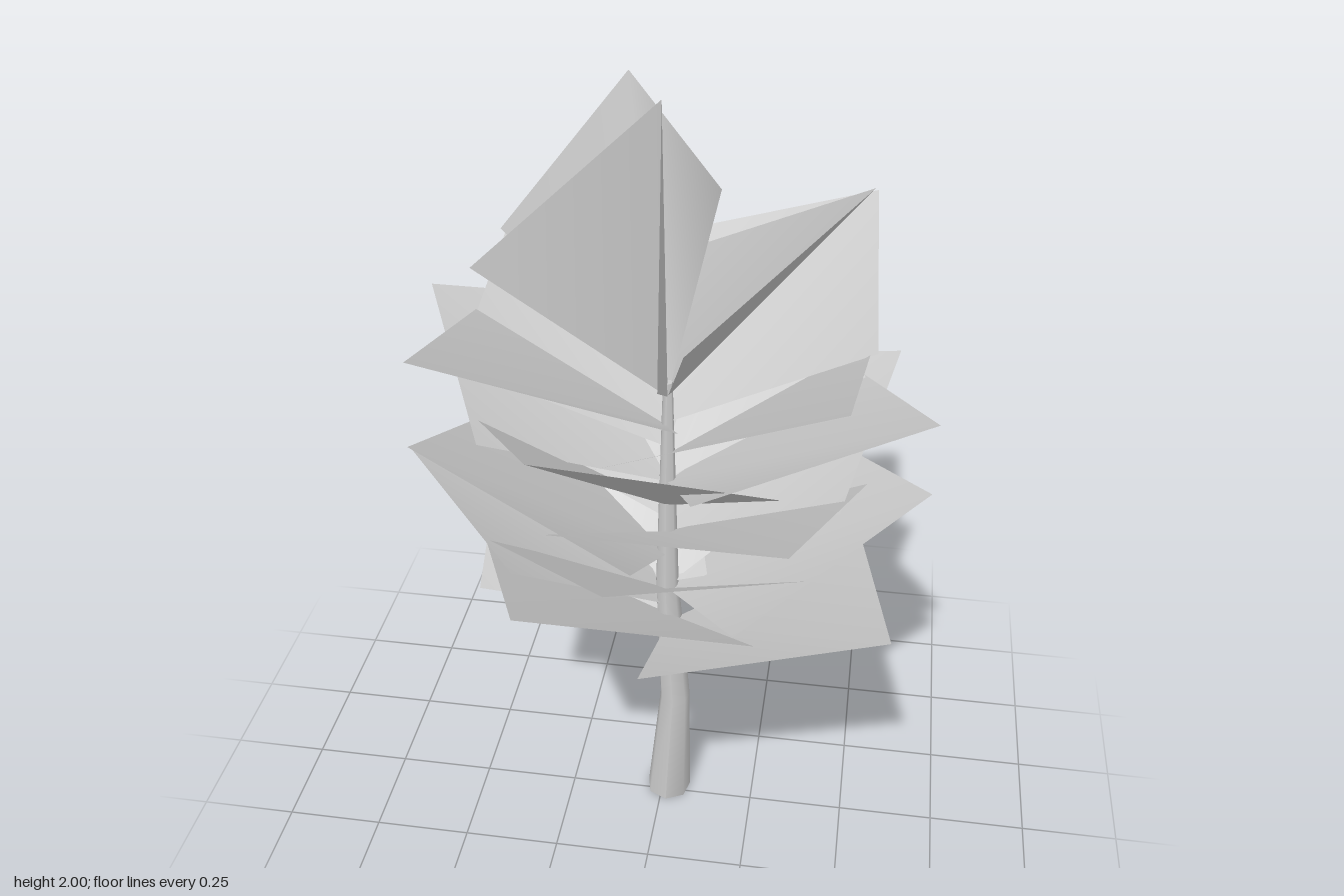
import * as THREE from 'three';

const grey = new THREE.MeshStandardMaterial({ color: 0xcccccc });
const leafGrey = new THREE.MeshStandardMaterial({ color: 0xcccccc, side: THREE.DoubleSide });

// Trunk rings: x, y, z, radius
const RINGS = [
  [0.017, 0, -0.02, 0.06],
  [0.035, 0.36, 0, 0.04],
  [0.01, 0.72, -0.02, 0.03],
  [0.01, 1.31, -0.02, 0.012],
];

// Centre of the trunk at a given height
function trunkAt(y) {
  let i = 1;
  while (i < RINGS.length - 1 && RINGS[i][1] < y) i++;
  const a = RINGS[i - 1], b = RINGS[i];
  const t = (y - a[1]) / (b[1] - a[1]);
  return new THREE.Vector3(a[0] + (b[0] - a[0]) * t, y, a[2] + (b[2] - a[2]) * t);
}

// Tapered, slightly bent trunk
function makeTrunk() {
  const geo = new THREE.CylinderGeometry(1, 1, 1, 7, RINGS.length - 1);
  const p = geo.attributes.position;
  for (let i = 0; i < p.count; i++) {
    const [x, y, z, r] = RINGS[Math.round((p.getY(i) + 0.5) * (RINGS.length - 1))];
    p.setXYZ(i, x + p.getX(i) * r, y, z + p.getZ(i) * r);
  }
  geo.computeVertexNormals();
  const trunk = new THREE.Mesh(geo, grey);
  trunk.name = 'trunk';
  return trunk;
}

// Four-cornered leaf folded along the midrib from base to tip
function makeLeaf(name, base, tip, sideA, sideB) {
  const geo = new THREE.BufferGeometry().setFromPoints([base, tip, sideA, sideB]);
  geo.setIndex([0, 1, 2, 0, 3, 1]);
  geo.computeVertexNormals();
  const leaf = new THREE.Mesh(geo, leafGrey);
  leaf.name = name;
  return leaf;
}

// Spreading leaf: rooted on the trunk, side corners follow from the tip
function spreadingLeaf([x, y, z, baseY, roll = 0]) {
  const tip = new THREE.Vector3(x, y, z);
  const base = trunkAt(baseY);
  const rib = tip.clone().sub(base);
  const middle = base.clone().addScaledVector(rib, 0.47);
  rib.normalize();
  const side = new THREE.Vector3(rib.z, 0, -rib.x).normalize();
  middle.addScaledVector(rib.clone().cross(side), 0.08);
  const corner = (s) => {
    const c = middle.clone().addScaledVector(side, 0.4 * s);
    c.y += roll * s;
    return c;
  };
  return makeLeaf('spreadingLeaf', base, tip, corner(1), corner(-1));
}

// Spreading leaves, lowest first: tip x, y, z, height of the base, optional roll
const LEAVES = [
  [0.575, 0.925, 0.39, 0.6], [-0.495, 0.945, -0.41, 0.61, -0.07],
  [0.36, 0.985, -0.46, 0.72], [-0.25, 1.01, 0.54, 0.62],
  [-0.655, 1.03, -0.07, 0.65, 0.1], [0.645, 1.105, 0.05, 0.7, 0.045],
  [0.09, 1.155, -0.6, 0.71, -0.08], [-0.03, 1.155, 0.61, 0.7],
  [0.55, 1.26, -0.35, 0.87], [0.345, 1.26, 0.56, 0.88, -0.03],
  [-0.53, 1.275, 0.295, 0.81], [-0.32, 1.28, -0.59, 0.92],
  [0.635, 1.39, 0.21, 1.03, -0.02], [-0.615, 1.41, -0.24, 1.03],
  [-0.19, 1.44, 0.57, 0.96], [0.2, 1.44, -0.62, 1.04],
  [-0.475, 1.475, -0.485, 1.13], [0.445, 1.55, 0.465, 1.11, 0.04],
  [-0.46, 1.585, 0.455, 1.19, 0.025], [0.46, 1.61, -0.52, 1.2],
];

// Upright crown leaves: tip and both side corners
const CROWN = [
  [[-0.1, 2, -0.165], [-0.425, 1.58, -0.22], [0.08, 1.62, -0.44]],
  [[0, 2, 0.01], [0.05, 1.52, 0.39], [-0.455, 1.56, -0.04]],
  [[0.455, 1.845, 0.035], [0.01, 1.46, -0.445], [0.09, 1.555, 0.295]],
];

export function createModel() {
  const model = new THREE.Group();
  model.name = 'tree';
  model.add(makeTrunk());

  const foliage = new THREE.Group();
  foliage.name = 'foliage';
  for (const leaf of LEAVES) foliage.add(spreadingLeaf(leaf));
  for (const corners of CROWN) {
    const points = corners.map((c) => new THREE.Vector3(...c));
    foliage.add(makeLeaf('crownLeaf', trunkAt(1.27), ...points));
  }
  model.add(foliage);
  return model;
}
